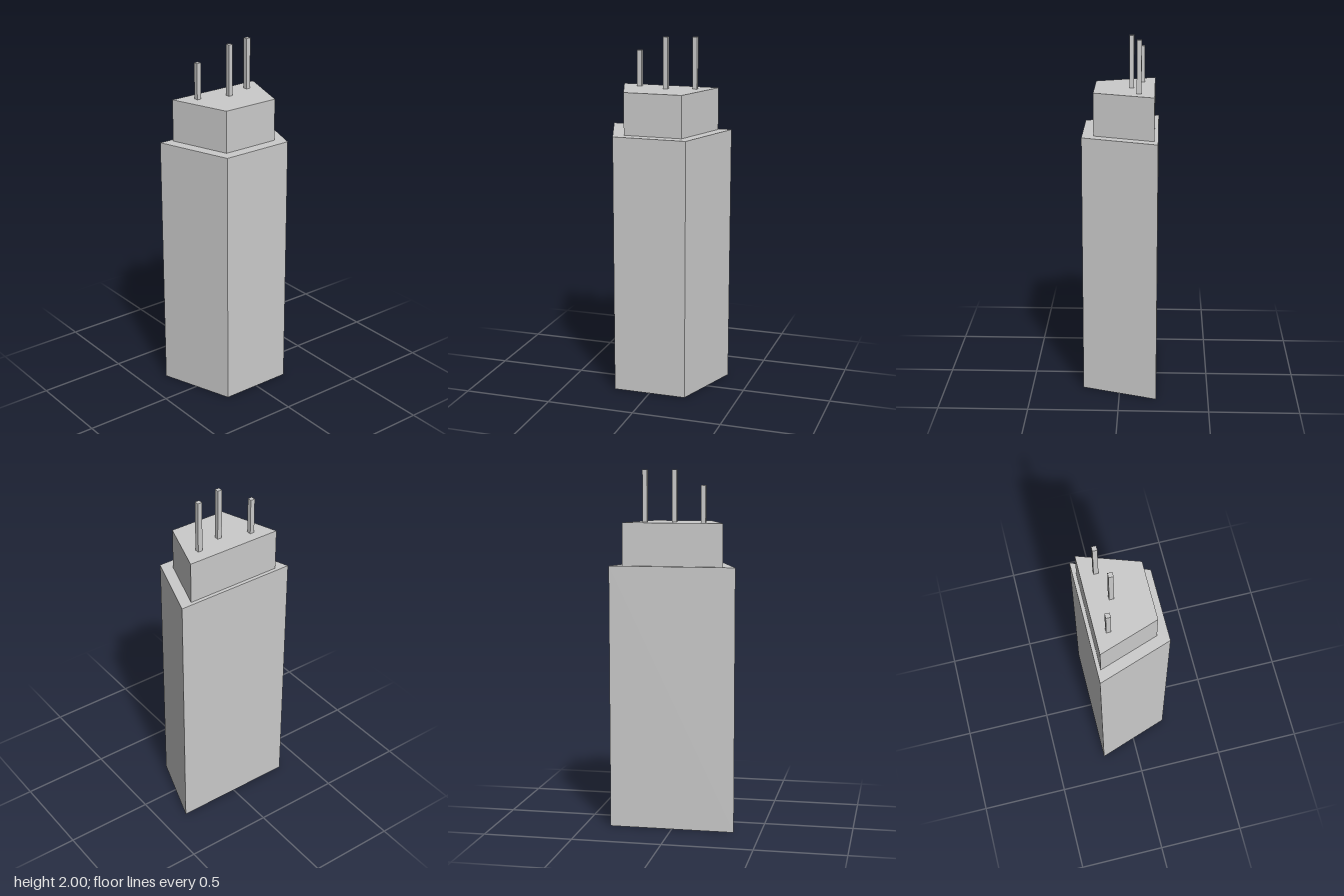
import * as THREE from 'three';

const material = new THREE.MeshStandardMaterial({ color: 0xcccccc, flatShading: true });

// Vertical prism with a trapezoid plan, narrow towards the front
function trapezoidBlock(name, { frontHalf, backHalf, frontZ, backZ, bottom, top }) {
  const plan = new THREE.Shape([
    new THREE.Vector2(-frontHalf, -frontZ),
    new THREE.Vector2(frontHalf, -frontZ),
    new THREE.Vector2(backHalf, -backZ),
    new THREE.Vector2(-backHalf, -backZ),
  ]);
  const geometry = new THREE.ExtrudeGeometry(plan, { depth: top - bottom, bevelEnabled: false });
  geometry.rotateX(-Math.PI / 2);
  const mesh = new THREE.Mesh(geometry, material);
  mesh.name = name;
  mesh.position.y = bottom;
  return mesh;
}

// Square rooftop mast
function mast(name, x, z, bottom, top) {
  const mesh = new THREE.Mesh(new THREE.BoxGeometry(0.026, top - bottom, 0.026), material);
  mesh.name = name;
  mesh.position.set(x, (bottom + top) / 2, z);
  return mesh;
}

export function createModel() {
  const model = new THREE.Group();
  model.name = 'tower';
  const shoulder = 1.475;
  const roof = 1.712;

  // Main shaft and set-back upper storey
  model.add(trapezoidBlock('towerShaft', {
    frontHalf: 0.209, backHalf: 0.352, frontZ: 0.208, backZ: -0.208, bottom: 0, top: shoulder,
  }));
  model.add(trapezoidBlock('upperStorey', {
    frontHalf: 0.166, backHalf: 0.28, frontZ: 0.145, backZ: -0.187, bottom: shoulder, top: roof,
  }));

  // Three masts, the right one shorter
  model.add(
    mast('rightMast', -0.161, -0.116, roof, 1.915),
    mast('middleMast', 0.011, -0.059, roof, 2),
    mast('leftMast', 0.168, -0.103, roof, 2),
  );
  return model;
}
